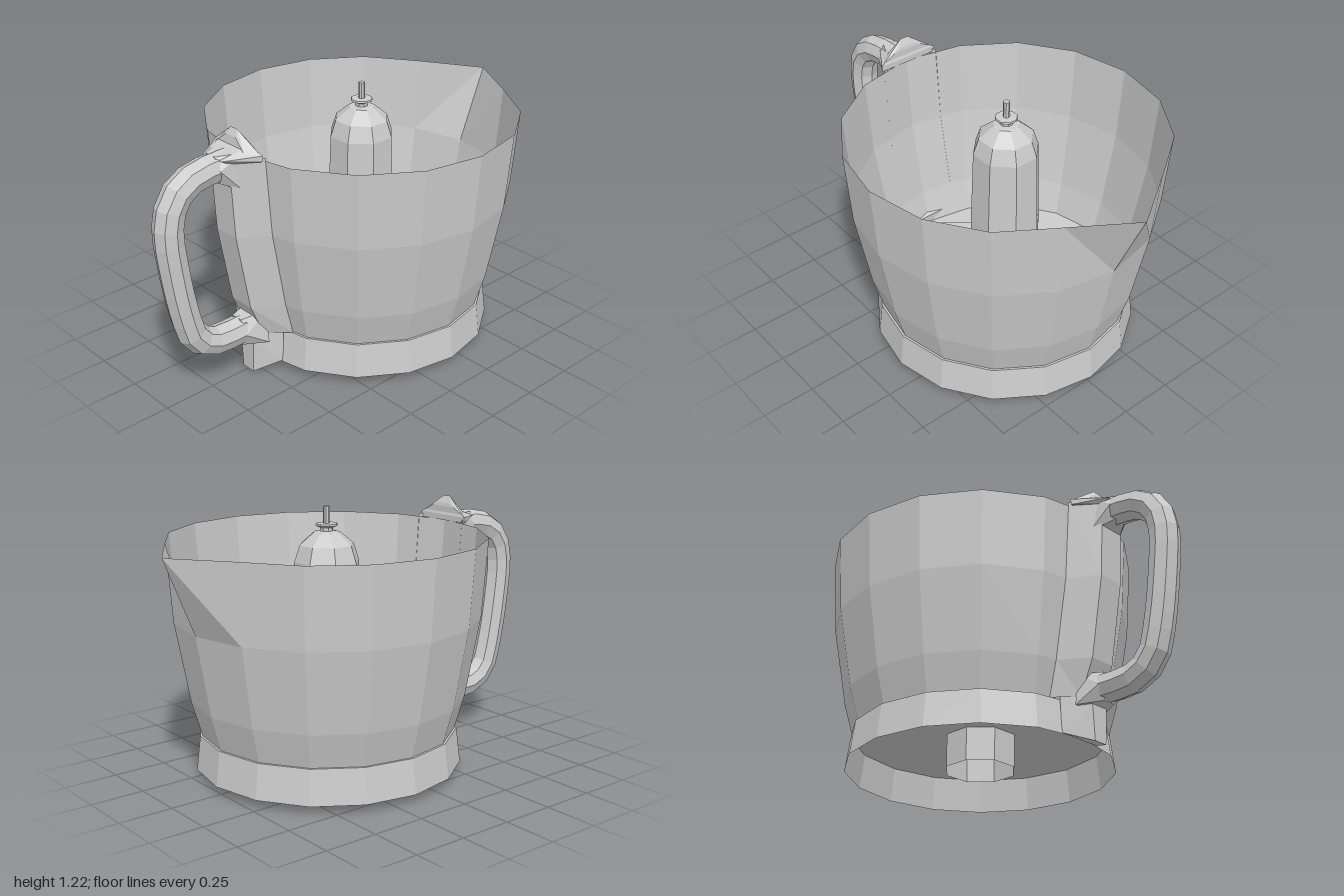
import * as THREE from 'three';
import { ConvexGeometry } from 'three/addons/geometries/ConvexGeometry.js';

const CX = 0.16; // axis of the bowl
const mat = new THREE.MeshStandardMaterial({ color: 0xcccccc, flatShading: true, side: THREE.DoubleSide });

export function createModel() {
  const model = new THREE.Group();

  const add = (name, geometry, x = 0) => {
    const mesh = new THREE.Mesh(geometry, mat);
    mesh.name = name;
    mesh.position.x = x;
    model.add(mesh);
    return mesh;
  };

  // faceted turned part from [radius, height] pairs
  const lathe = (profile, sides, start = 0) =>
    new THREE.LatheGeometry(profile.map(([r, y]) => new THREE.Vector2(r, y)), sides, start);

  // strips between open cross-sections of equal length
  const loft = (sections) => {
    const n = sections[0].length, index = [];
    for (let s = 0; s < sections.length - 1; s++) {
      for (let i = 0; i < n - 1; i++) {
        const a = s * n + i, b = a + n;
        index.push(a, b, a + 1, a + 1, b, b + 1);
      }
    }
    const g = new THREE.BufferGeometry();
    g.setAttribute('position', new THREE.Float32BufferAttribute(sections.flat(2), 3));
    g.setIndex(index);
    g.computeVertexNormals();
    return g;
  };

  // hull of points mirrored across z = 0
  const mirroredHull = (points) => new ConvexGeometry(
    points.flatMap(([x, y, z]) => [new THREE.Vector3(x, y, z), new THREE.Vector3(x, y, -z)]));

  // bowl wall, with one rim corner pulled out into a spout
  const wall = lathe([[0.585, 0.2], [0.63, 0.36], [0.695, 0.73], [0.72, 1.085]], 16);
  const pos = wall.attributes.position;
  for (let i = 0; i < pos.count; i++) {
    if (pos.getY(i) > 1 && pos.getX(i) > 0.71) pos.setXYZ(i, 0.84, 1.08, 0);
  }
  add('bowlWall', wall, CX);

  // floor, open skirt and drive socket beneath
  add('bowlFloor', lathe([[0.15, 0.2], [0.595, 0.2]], 16), CX);
  add('baseSkirt', lathe([[0.595, 0.2], [0.615, 0.04]], 16), CX);
  add('driveSocket', lathe([[0.165, 0.045], [0.165, 0.2]], 8, Math.PI / 8), CX);

  // blade hub with domed cap, collar and pin
  add('bladeHub', lathe([
    [0.205, 0.2], [0.205, 0.25], [0.168, 0.25], [0.162, 0.6], [0.15, 0.97],
    [0.125, 1.045], [0.06, 1.1], [0.03, 1.105],
  ], 8, Math.PI / 8), CX);
  add('hubCollar', lathe([[0.03, 1.1], [0.03, 1.12], [0.052, 1.13], [0.05, 1.138], [0, 1.14]], 8, Math.PI / 8), CX);
  const pin = add('hubPin', new THREE.CylinderGeometry(0.015, 0.015, 0.085, 8), CX);
  pin.position.y = 1.1725;

  // two curved blades lying near the floor
  const blade = new THREE.Shape([
    [-0.53, 0.14], [-0.495, -0.01], [-0.42, -0.11], [-0.34, -0.21], [-0.2, -0.275], [-0.02, -0.28],
    [0.1, -0.22], [0.17, -0.11], [0, -0.05], [-0.18, -0.085], [-0.245, -0.145], [-0.35, -0.11],
    [-0.43, -0.01], [-0.475, 0.15],
  ].map(([x, z]) => new THREE.Vector2(x, z)));
  const bladeGeometry = new THREE.ExtrudeGeometry(blade, { depth: 0.015, bevelEnabled: false });
  bladeGeometry.rotateX(Math.PI / 2);
  for (const side of [0, 1]) {
    const arm = add(side ? 'rightBlade' : 'leftBlade', bladeGeometry, CX);
    arm.position.y = 0.24;
    arm.rotation.y = side * Math.PI;
  }

  // handle loop
  const path = new THREE.CatmullRomCurve3([
    [-0.58, 1.06], [-0.68, 1.055], [-0.8, 1.04], [-0.89, 0.98], [-0.93, 0.87], [-0.915, 0.65],
    [-0.875, 0.42], [-0.84, 0.31], [-0.77, 0.245], [-0.68, 0.23], [-0.5, 0.235],
  ].map(([x, y]) => new THREE.Vector3(x, y, 0)));
  add('handle', new THREE.TubeGeometry(path, 18, 0.067, 8, false));

  // flared ends where the handle meets its bracket
  add('upperHandleFlare', mirroredHull([
    [-0.7, 1.115, 0.03], [-0.7, 1.0, 0.03], [-0.7, 1.06, 0.066],
    [-0.6, 1.12, 0.08], [-0.6, 0.95, 0.09],
  ]));
  add('lowerHandleFlare', mirroredHull([
    [-0.6, 0.295, 0.03], [-0.6, 0.165, 0.03], [-0.6, 0.23, 0.066],
    [-0.48, 0.31, 0.06], [-0.49, 0.16, 0.09],
  ]));

  // bracket following the bowl wall
  const row = (y, outer, inner) => [
    [inner, y, 0.15], [outer, y, 0.065], [outer, y, -0.065], [inner, y, -0.15],
  ];
  add('handleBracket', loft([
    row(1.1, -0.655, -0.53), row(0.73, -0.635, -0.505), row(0.36, -0.57, -0.44), row(0.2, -0.5, -0.4),
  ]));

  // foot hanging below the bracket
  add('bracketFoot', mirroredHull([
    [-0.5, 0.28, 0.06], [-0.42, 0.24, 0.11], [-0.545, 0.16, 0.045],
    [-0.545, 0, 0.035], [-0.43, 0.045, 0.11],
  ]));

  // thumb rest on top of the bracket
  add('thumbRestBase', mirroredHull([
    [-0.69, 1.1, 0.06], [-0.655, 1.08, 0.065], [-0.545, 1.085, 0.15],
    [-0.545, 1.112, 0.15], [-0.56, 1.145, 0.08],
  ]));
  add('thumbRestFin', mirroredHull([
    [-0.6, 1.115, 0.1], [-0.55, 1.115, 0.14], [-0.55, 1.15, 0.075],
    [-0.59, 1.17, 0.03], [-0.572, 1.2, 0.02], [-0.553, 1.165, 0.04],
  ]));

  return model;
}
